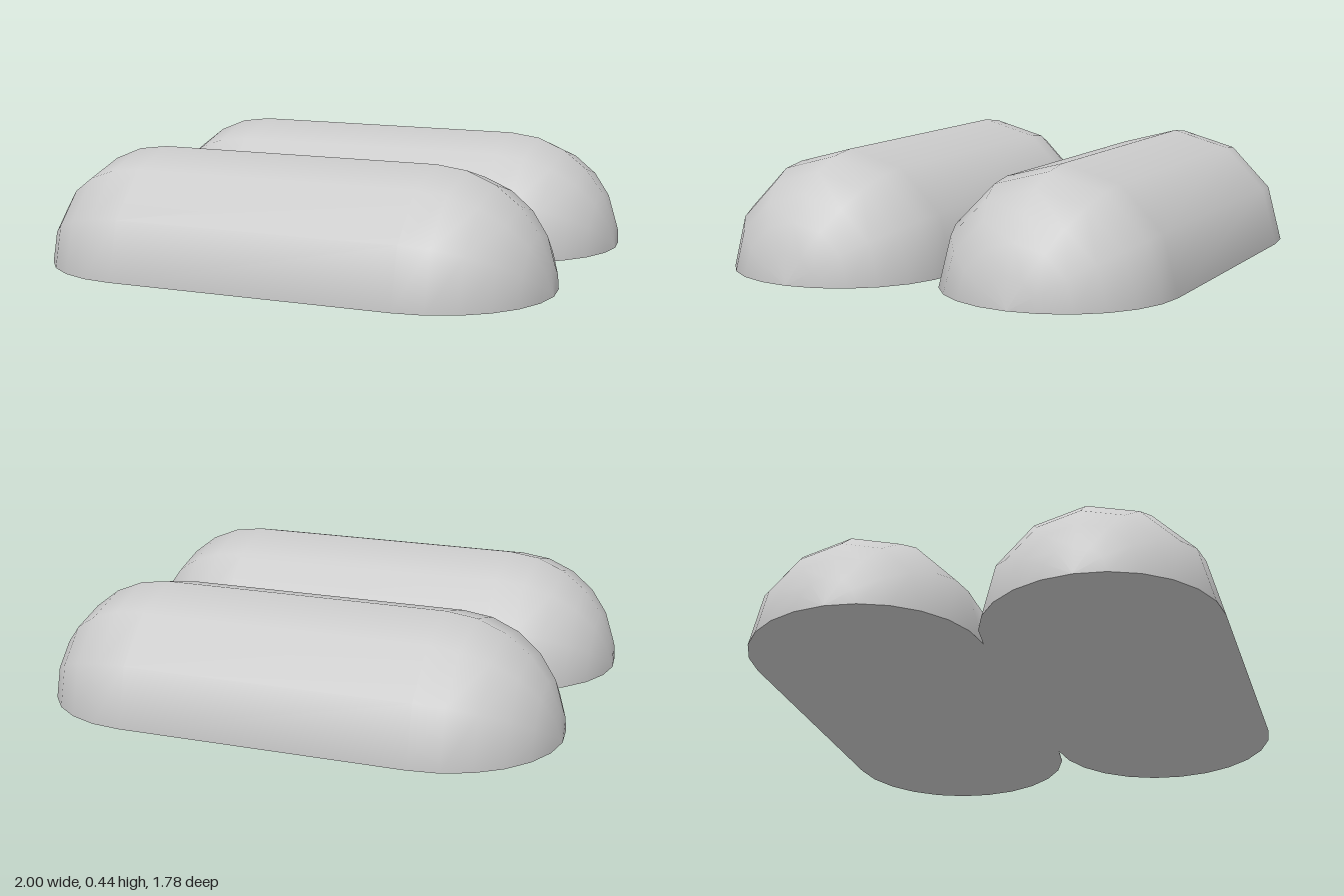
import * as THREE from 'three';

const R = 0.445;          // radius of each half capsule
const HALF = 1 - R;       // half length of the straight middle
const CAP_STEPS = 6;      // 15 degree steps along each rounded end

export function createModel() {
  const model = new THREE.Group();
  const material = new THREE.MeshStandardMaterial({ color: 0xcccccc });

  // Capsule profile: radius against length, from one pole to the other
  const profile = [];
  for (const side of [-1, 1]) {
    for (let i = 0; i <= CAP_STEPS; i++) {
      const t = (i / CAP_STEPS) * Math.PI / 2;
      const a = side < 0 ? Math.PI / 2 - t : t;
      profile.push(new THREE.Vector2(R * Math.cos(a), side * (HALF + R * Math.sin(a))));
    }
  }

  // Half turn of the profile, laid down along x with its dome upwards
  const domeGeometry = new THREE.LatheGeometry(profile, 6, 0, Math.PI).rotateZ(Math.PI / 2);

  // Flat underside with the same outline
  const outline = [
    ...profile.map(p => new THREE.Vector2(p.y, -p.x)),
    ...profile.slice(1, -1).reverse().map(p => new THREE.Vector2(p.y, p.x)),
  ];
  const baseGeometry = new THREE.ShapeGeometry(new THREE.Shape(outline)).rotateX(Math.PI / 2);

  // Two half capsules touching side by side
  for (const [name, z] of [['frontHalfCapsule', R], ['backHalfCapsule', -R]]) {
    const half = new THREE.Group();
    half.name = name;
    const dome = new THREE.Mesh(domeGeometry, material);
    dome.name = 'dome';
    const base = new THREE.Mesh(baseGeometry, material);
    base.name = 'flatBase';
    half.add(dome, base);
    half.position.z = z;
    model.add(half);
  }
  return model;
}
